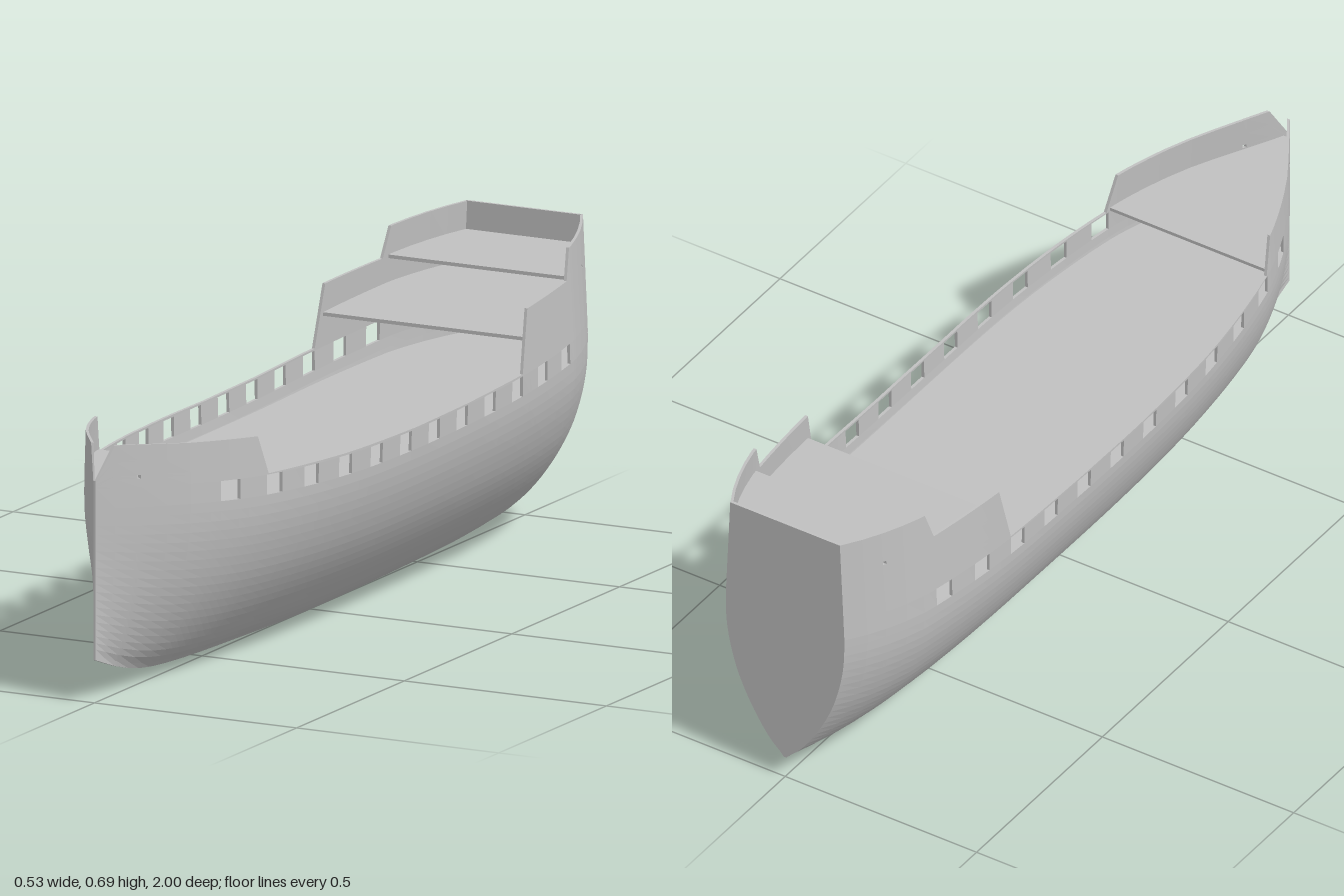
import * as THREE from 'three';

const WALL = 0.007;

// Piecewise lookup through [position, value] points, straight or smoothed
function lookup(points, smooth) {
  const slope = (k) => {
    const a = points[Math.max(k - 1, 0)], b = points[Math.min(k + 1, points.length - 1)];
    return (b[1] - a[1]) / (b[0] - a[0]);
  };
  return (x) => {
    let k = 0;
    while (k < points.length - 2 && x > points[k + 1][0]) k++;
    const [x0, y0] = points[k], [x1, y1] = points[k + 1];
    const h = x1 - x0, t = Math.min(Math.max((x - x0) / h, 0), 1);
    if (!smooth) return y0 + (y1 - y0) * t;
    const u = 1 - t;
    return y0 * u * u * (1 + 2 * t) + y1 * t * t * (3 - 2 * t)
      + h * t * u * (slope(k) * u - slope(k + 1) * t);
  };
}

// Hull lines: half breadth in plan, keel height, rail height, section shape
const plan = lookup([[-1, 0.155], [-0.95, 0.182], [-0.87, 0.214], [-0.78, 0.237], [-0.53, 0.26],
  [-0.25, 0.264], [0.05, 0.264], [0.25, 0.258], [0.42, 0.242], [0.6, 0.211], [0.7, 0.178],
  [0.8, 0.132], [0.9, 0.07], [0.96, 0.031], [1, 0.003]], true);
const keel = lookup([[-1, 0.055], [-0.9, 0.034], [-0.8, 0.022], [-0.6, 0.011], [0, 0.002],
  [0.4, 0.011], [0.65, 0.022], [0.8, 0.038], [0.9, 0.063], [1, 0.098]], true);
const rail = lookup([[-1, 0.693], [-0.785, 0.672], [-0.76, 0.603], [-0.535, 0.592], [-0.5, 0.452],
  [-0.25, 0.443], [0, 0.44], [0.3, 0.445], [0.59, 0.455], [0.62, 0.543], [0.8, 0.558],
  [0.96, 0.575], [1, 0.5]], false);
const section = lookup([[0, 0], [0.09, 0.235], [0.24, 0.485], [0.37, 0.655], [0.5, 0.79],
  [0.62, 0.88], [0.75, 0.95], [0.88, 0.99], [1, 1]], true);

function halfWidth(z, y) {
  const k = keel(z), t = (y - k) / (0.42 - k);
  const w = plan(z) * (t < 1 ? section(t) : 1 - 0.3 * Math.max(0, y - 0.44) * Math.abs(z));
  return Math.max(w, 0.003);
}

// Collects flat quads into one faceted geometry
function quadBuilder() {
  const pos = [];
  return {
    quad(a, b, c, d) {
      for (const p of [a, b, c, a, c, d]) pos.push(p[0], p[1], p[2]);
    },
    build() {
      const g = new THREE.BufferGeometry();
      g.setAttribute('position', new THREE.Float32BufferAttribute(pos, 3));
      g.computeVertexNormals();
      return g;
    },
  };
}

// Gun ports and small line holes, as spans along z
const ports = [0.7];
for (let i = 0; i < 11; i++) ports.push(0.57 - i * 0.1305);
const PORT = 0.026, HOLE = 0.004, bowHole = 0.91, sternHole = -0.9;

// Stations along the hull, including every edge of an opening or rail step
function makeStations() {
  const zs = [-0.785, -0.76, -0.535, -0.5, 0.59, 0.62, 0.96];
  for (const p of ports) zs.push(p - PORT, p + PORT);
  for (const h of [bowHole, sternHole]) zs.push(h - HOLE, h + HOLE);
  for (let i = 0; i <= 40; i++) {
    const z = -1 + i * 0.05;
    if (!zs.some((q) => Math.abs(q - z) < 0.012)) zs.push(z);
  }
  return zs.sort((a, b) => a - b);
}
const stations = makeStations();

// Row heights at a station: bottom, port band, then bulwark
const LOWER = 20;
const upper = [0, 0.2, 0.28, 0.6, 0.64, 1];
function rowHeights(z) {
  const k = keel(z), sill = 0.391 + 0.047 * z * z, head = sill + 0.045, ys = [];
  for (let j = 0; j <= LOWER; j++) ys.push(k + (sill - k) * Math.pow(j / LOWER, 1.15));
  for (const f of upper) ys.push(head + (rail(z) - head) * f);
  return ys;
}

// Planked shell with real thickness and open ports
function shellGeometry(side) {
  const q = quadBuilder();
  const heights = stations.map(rowHeights);
  const rows = heights[0].length - 1, cols = stations.length - 1;
  const point = (i, j, inner) => {
    const z = stations[i], y = heights[i][j], w = halfWidth(z, y);
    return [side * (inner ? Math.max(w - WALL, 0) : w), y, z];
  };
  const solid = (i, j) => {
    if (i < 0 || j < 0 || i >= cols || j >= rows) return false;
    const z = (stations[i] + stations[i + 1]) / 2;
    if (j === LOWER) return !ports.some((p) => Math.abs(p - z) < PORT);
    if (j === LOWER + 2) return Math.abs(z - bowHole) > HOLE;
    if (j === LOWER + 4) return Math.abs(z - sternHole) > HOLE;
    return true;
  };
  const put = (a, b, c, d) => (side > 0 ? q.quad(a, b, c, d) : q.quad(d, c, b, a));
  for (let i = 0; i < cols; i++) {
    for (let j = 0; j < rows; j++) {
      if (!solid(i, j)) continue;
      const loop = [[i, j], [i, j + 1], [i + 1, j + 1], [i + 1, j]];
      const out = loop.map(([m, n]) => point(m, n, false));
      const inn = loop.map(([m, n]) => point(m, n, true));
      put(...out);
      put(inn[3], inn[2], inn[1], inn[0]);
      const next = [[i - 1, j], [i, j + 1], [i + 1, j], [i, j - 1]];
      next.forEach(([m, n], e) => {
        const f = (e + 1) % 4;
        if (!solid(m, n)) put(out[f], out[e], inn[e], inn[f]);
      });
    }
  }
  return q.build();
}

// Thin deck plate that follows the inside of the hull
function deckGeometry(z0, z1, height) {
  const q = quadBuilder(), T = 0.008;
  const zs = [z0, ...stations.filter((z) => z > z0 + 0.004 && z < z1 - 0.004), z1];
  const rings = zs.map((z) => {
    const y = height(z), w = Math.max(halfWidth(z, y - T) - 0.004, 0.0005);
    return [[-w, y, z], [w, y, z], [w, y - T, z], [-w, y - T, z]];
  });
  for (let i = 0; i < rings.length - 1; i++) {
    const a = rings[i], b = rings[i + 1];
    for (let k = 0; k < 4; k++) {
      const n = (k + 1) % 4;
      q.quad(a[k], b[k], b[n], a[n]);
    }
  }
  const first = rings[0], last = rings[rings.length - 1];
  q.quad(first[0], first[1], first[2], first[3]);
  q.quad(last[3], last[2], last[1], last[0]);
  return q.build();
}

// Flat stern panel cut to the last hull section
function transomGeometry() {
  const ys = rowHeights(-1);
  const right = ys.map((y) => new THREE.Vector2(halfWidth(-1, y), y));
  const left = right.map((p) => new THREE.Vector2(-p.x, p.y)).reverse();
  const g = new THREE.ExtrudeGeometry(new THREE.Shape([...right, ...left]),
    { depth: WALL, bevelEnabled: false });
  return g.translate(0, 0, -1.0005);
}

export function createModel() {
  const model = new THREE.Group();
  model.name = 'shipHull';
  const grey = new THREE.MeshStandardMaterial({ color: 0xc0c0c0 });
  grey.name = 'plain grey';
  const add = (name, geometry) => {
    const mesh = new THREE.Mesh(geometry, grey);
    mesh.name = name;
    model.add(mesh);
  };

  add('leftHullSide', shellGeometry(1));
  add('rightHullSide', shellGeometry(-1));
  add('transom', transomGeometry());

  // Decks, each with a gentle rise toward the ends
  add('mainDeck', deckGeometry(-0.995, 0.99, (z) => 0.367 + 0.03 * z * z));
  add('quarterDeck', deckGeometry(-0.995, -0.53, (z) => 0.528 + 0.068 * (-0.53 - z)));
  add('poopDeck', deckGeometry(-0.995, -0.78, (z) => 0.608 + 0.1 * (-0.78 - z)));
  add('forecastleDeck', deckGeometry(0.6, 0.99, (z) => 0.464 + 0.085 * (z - 0.6)));
  return model;
}
